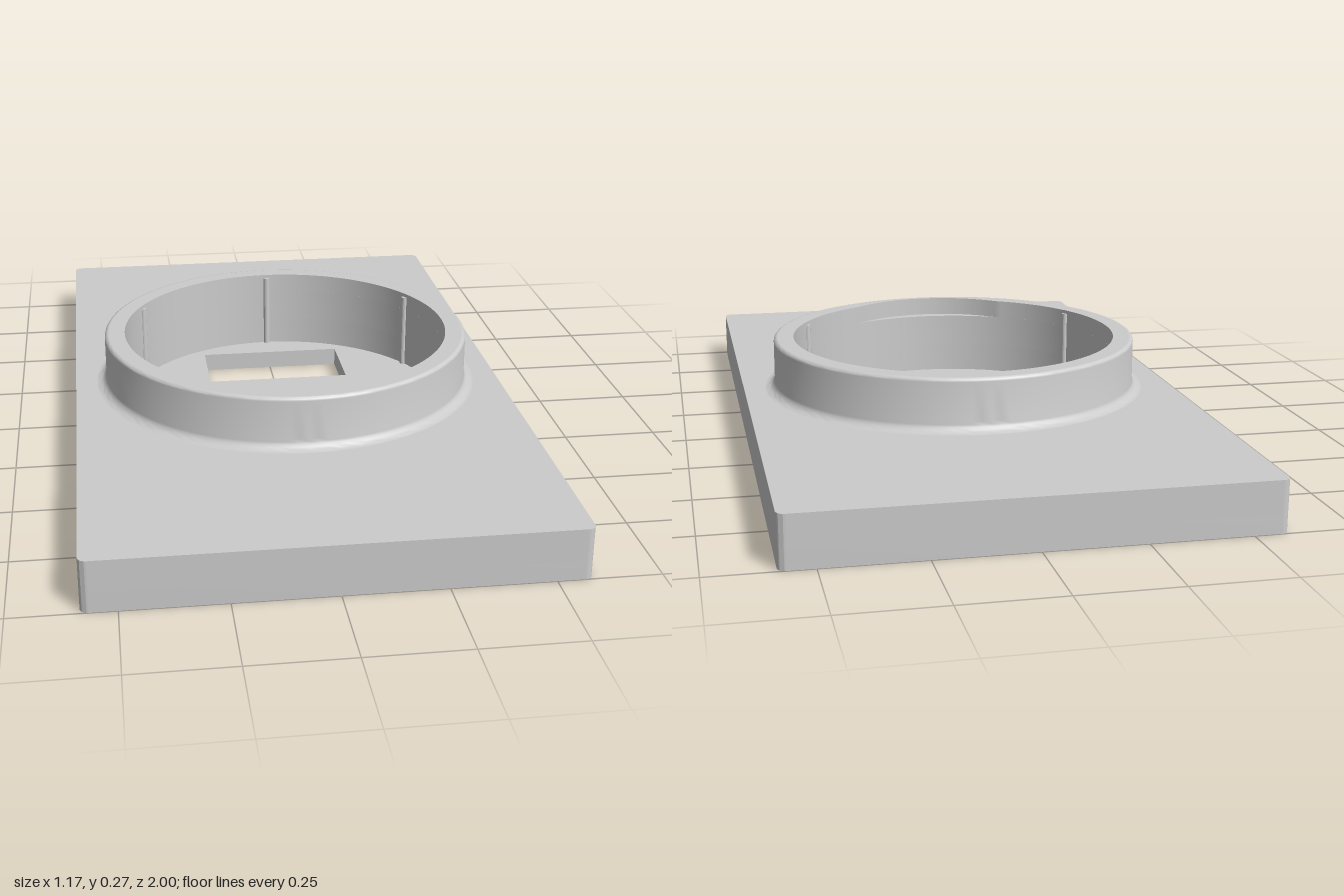
import * as THREE from 'three';
import { toCreasedNormals } from 'three/addons/utils/BufferGeometryUtils.js';

const W = 0.585, L = 1, FLOOR = 0.05, DECK = 0.13, LEDGE = 0.22, TOP = 0.27;
const R_IN = 0.445, R_OUT = 0.5;

// Rectangle with rounded corners, seen from above (shape y = -z)
function plateShape(r = 0.02) {
  const s = new THREE.Shape();
  s.absarc(W - r, L - r, r, 0, Math.PI / 2);
  s.absarc(-W + r, L - r, r, Math.PI / 2, Math.PI);
  s.absarc(-W + r, -L + r, r, Math.PI, Math.PI * 1.5);
  s.absarc(W - r, -L + r, r, Math.PI * 1.5, Math.PI * 2);
  s.closePath();
  return s;
}

// Upright extrusion between two heights
function slab(shape, y0, y1, curveSegments) {
  const g = new THREE.ExtrudeGeometry(shape, { depth: y1 - y0, bevelEnabled: false, curveSegments });
  return g.rotateX(-Math.PI / 2).translate(0, y0, 0);
}

function lathe(points) {
  return new THREE.LatheGeometry(points.map(([r, y]) => new THREE.Vector2(r, y)), 128);
}

export function createModel() {
  const group = new THREE.Group();
  const material = new THREE.MeshStandardMaterial({ color: 0xcccccc });
  const add = (name, geometry) => {
    const mesh = new THREE.Mesh(toCreasedNormals(geometry, 0.6), material);
    mesh.name = name;
    group.add(mesh);
    return mesh;
  };

  // Thin floor with a window whose front wall slopes outwards underneath
  const floor = plateShape();
  floor.holes.push(new THREE.Path([
    [-0.2, 0.15], [-0.2, 0.36], [0.2, 0.36], [0.2, 0.15],
  ].map(([x, y]) => new THREE.Vector2(x, y))));
  const floorGeo = slab(floor, 0, FLOOR, 8);
  const pos = floorGeo.attributes.position;
  for (let i = 0; i < pos.count; i++) {
    if (pos.getY(i) < 0.001 && Math.abs(pos.getZ(i) + 0.15) < 0.001) pos.setZ(i, -0.1);
  }
  floorGeo.computeVertexNormals();
  add('floorPlate', floorGeo);

  // Upper part of the plate with the round pocket
  const deck = plateShape();
  deck.holes.push(new THREE.Path().absarc(0, 0, R_IN, 0, Math.PI * 2));
  add('basePlate', slab(deck, FLOOR, DECK, 64));

  // Outer collar: concave fillet at the foot, straight wall, rounded lip
  const outer = [];
  for (let i = 0; i <= 6; i++) {
    const a = (i / 6) * Math.PI / 2;
    outer.push([R_OUT + 0.027 * (1 - Math.sin(a)), DECK + 0.027 * (1 - Math.cos(a))]);
  }
  for (let i = 0; i <= 4; i++) {
    const a = (i / 4) * Math.PI / 2;
    outer.push([R_OUT - 0.01 + 0.01 * Math.cos(a), TOP - 0.01 + 0.01 * Math.sin(a)]);
  }
  add('collarOuterWall', lathe(outer));

  // Inner wall of the collar up to the notch ledge
  add('collarInnerWall', lathe([[R_OUT - 0.01, LEDGE], [R_IN, LEDGE], [R_IN, DECK]]));

  // Rim with a crescent finger notch at the front
  const half = 0.21, a = Math.asin(half / R_IN), chordZ = R_IN * Math.cos(a);
  const sag = 0.475 - chordZ, r = (half * half + sag * sag) / (2 * sag);
  const b = Math.asin(half / r), down = -Math.PI / 2;
  const rim = new THREE.Shape().absarc(0, 0, R_OUT - 0.01, 0, Math.PI * 2);
  const opening = new THREE.Path();
  opening.absarc(0, 0, R_IN, down + a, Math.PI * 1.5 - a);
  opening.absarc(0, r - 0.475, r, down - b, down + b);
  rim.holes.push(opening);
  add('notchedRim', slab(rim, LEDGE, TOP, 64));

  // Small grip ribs around the pocket wall
  for (const deg of [30, 150, 210, 270, 330]) {
    const t = THREE.MathUtils.degToRad(deg);
    const rib = add('gripRib', new THREE.CylinderGeometry(0.009, 0.009, 0.21, 16));
    rib.position.set(R_IN * Math.cos(t), FLOOR + 0.105, R_IN * Math.sin(t));
  }
  return group;
}
